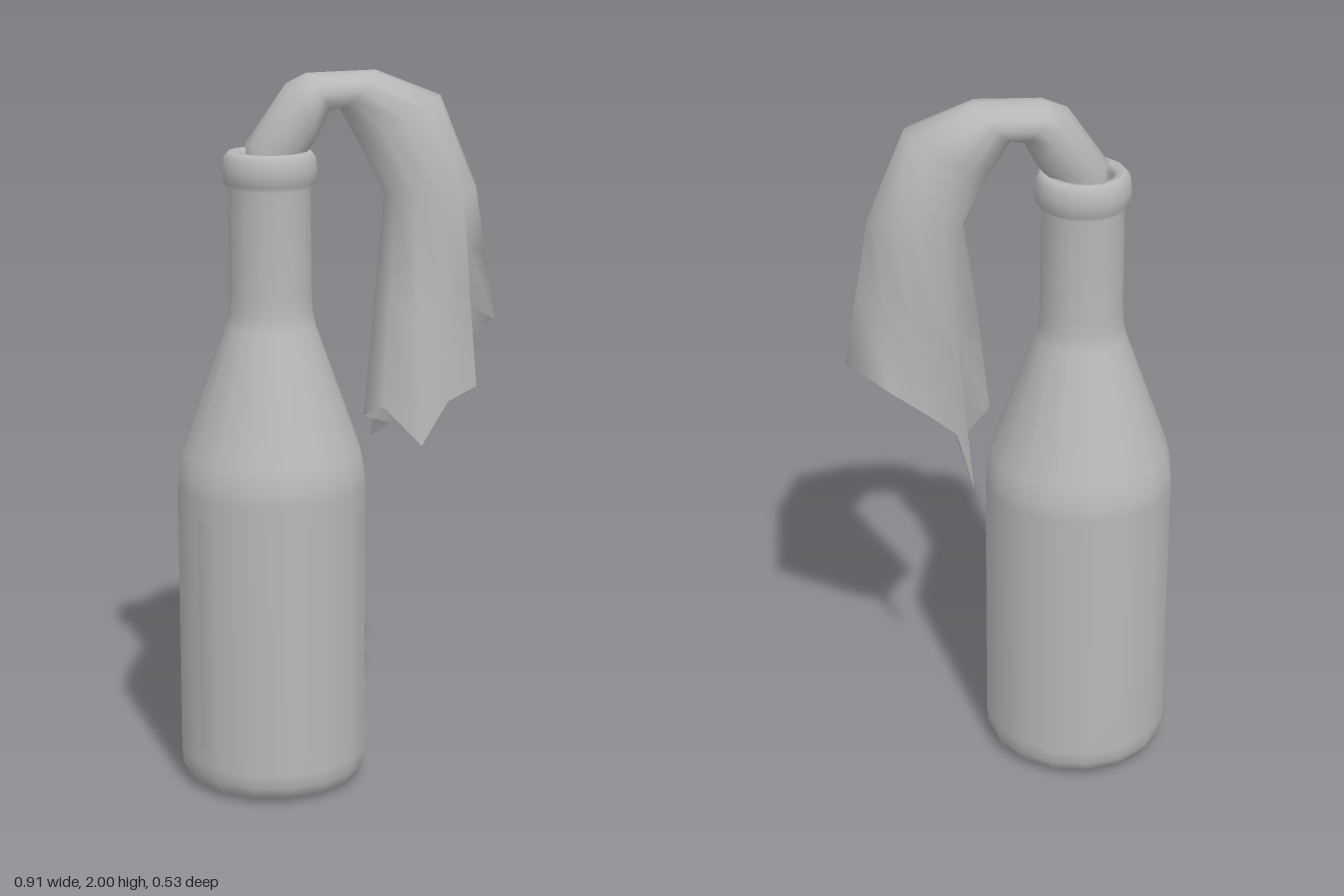
import * as THREE from 'three';

const BOTTLE_X = -0.195;

// Loops of points (each an array of Vector3) joined into an open skin
function loft(rings) {
  const n = rings[0].length, index = [];
  for (let i = 0; i < rings.length - 1; i++) {
    for (let j = 0; j < n; j++) {
      const k = (j + 1) % n;
      const a = i * n + j, b = a + n, c = i * n + k, d = c + n;
      index.push(a, c, b, c, d, b);
    }
  }
  const g = new THREE.BufferGeometry().setFromPoints(rings.flat());
  g.setIndex(index);
  g.computeVertexNormals();
  return g;
}

// Oval ring spanning from an outer to an inner point, with half width w about z = zc
function ovalRing([ox, oy, ix, iy, w, zc]) {
  return Array.from({ length: 12 }, (_, j) => {
    const t = j * Math.PI / 6, f = (1 - Math.cos(t)) / 2;
    return new THREE.Vector3(ox + (ix - ox) * f, oy + (iy - oy) * f, zc + w * Math.sin(t));
  });
}

export function createModel() {
  const model = new THREE.Group();
  const grey = new THREE.MeshStandardMaterial({ color: 0xb8b8b8, side: THREE.DoubleSide });
  grey.name = 'plainGrey';
  const add = (name, geometry) => {
    const mesh = new THREE.Mesh(geometry, grey);
    mesh.name = name;
    model.add(mesh);
    return mesh;
  };

  // Bottle: base, body, shoulder, neck, rolled lip and hollow mouth
  const profile = [
    [0, 0], [0.205, 0], [0.245, 0.015], [0.262, 0.05], [0.265, 0.09],
    [0.265, 0.86], [0.263, 0.9], [0.25, 0.96], [0.125, 1.31], [0.117, 1.35], [0.115, 1.4],
    [0.113, 1.69], [0.127, 1.705], [0.131, 1.74], [0.126, 1.775], [0.112, 1.79],
    [0.09, 1.788], [0.08, 1.77], [0.078, 1.65], [0, 1.65],
  ].map(([r, y]) => new THREE.Vector2(r, y));
  add('bottle', new THREE.LatheGeometry(profile, 16)).position.x = BOTTLE_X;

  // Label: a thin band following the front facets, its ends trimmed part way along a facet
  const step = Math.PI / 8;
  const label = new THREE.CylinderGeometry(0.269, 0.269, 0.66, 6, 1, true, -3 * step, 6 * step);
  const p = label.attributes.position;
  for (let i = 0; i < p.count; i++) {
    if (Math.abs(p.getX(i)) > 0.23) {
      p.setX(i, Math.sign(p.getX(i)) * 0.228);
      p.setZ(i, 0.134);
    }
  }
  add('label', label).position.set(BOTTLE_X, 0.47, 0);

  // Cloth: bunched in the mouth, arching over and flaring into a ragged hem
  const arch = [
    [-0.25, 1.7, -0.15, 1.7, 0.05, 0],
    [-0.262, 1.81, -0.09, 1.785, 0.072, 0],
    [-0.15, 1.97, -0.065, 1.82, 0.08, 0],
    [-0.09, 1.995, -0.03, 1.89, 0.087, -0.018],
    [0.1, 2.0, 0.0, 1.9, 0.088, -0.02],
    [0.28, 1.93, 0.05, 1.81, 0.103, -0.012],
    [0.38, 1.68, 0.12, 1.67, 0.125, 0.005],
  ].map(ovalRing);
  const hem = [
    [0.455, 1.29, -0.06], [0.335, 1.36, 0.012], [0.36, 1.14, 0.115], [0.28, 1.1, 0.115],
    [0.19, 0.995, 0.185], [0.1, 1.09, 0.1], [0.05, 1.06, 0.075], [0.15, 1.01, -0.03],
    [0.12, 0.94, -0.165], [0.16, 1.08, -0.11], [0.24, 1.15, -0.12], [0.34, 1.21, -0.09],
  ].map((v) => new THREE.Vector3(...v));
  const last = arch[arch.length - 1];
  const middle = last.map((v, j) => v.clone().lerp(hem[j], 0.5));
  add('cloth', loft([...arch, middle, hem]));

  return model;
}
